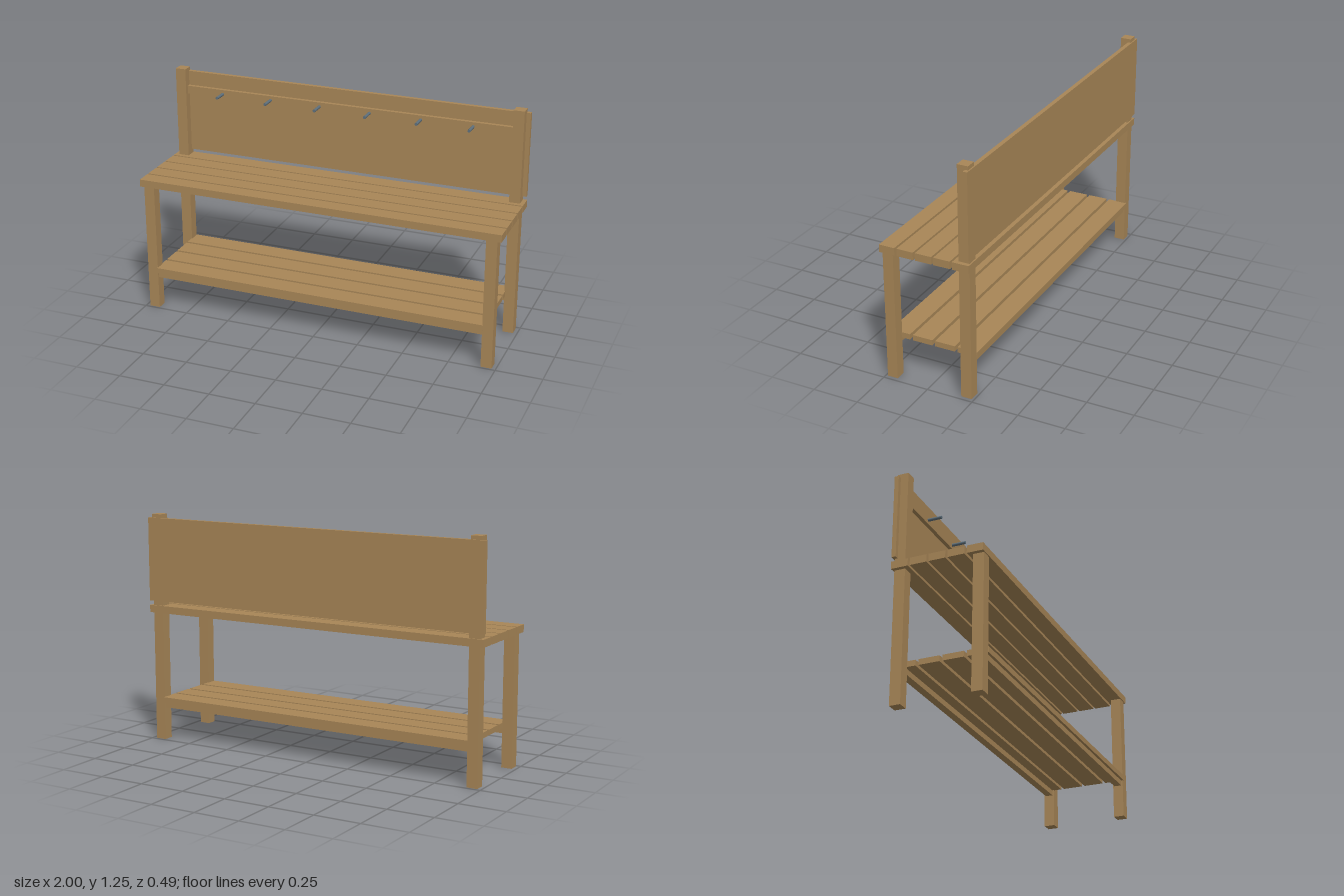
import * as THREE from 'three';

export function createModel() {
  const group = new THREE.Group();
  const wood = new THREE.MeshStandardMaterial({ color: 0xa88657 });
  wood.name = 'wood';
  const steel = new THREE.MeshStandardMaterial({ color: 0x5f707c });
  steel.name = 'steel';

  // Box given by its limits on each axis
  function board(name, x0, x1, y0, y1, z0, z1) {
    const mesh = new THREE.Mesh(new THREE.BoxGeometry(x1 - x0, y1 - y0, z1 - z0), wood);
    mesh.position.set((x0 + x1) / 2, (y0 + y1) / 2, (z0 + z1) / 2);
    mesh.name = name;
    group.add(mesh);
  }

  // Short front legs and tall back posts
  for (const [side, x] of [['left', 0.949], ['right', -0.949]]) {
    board(side + 'FrontLeg', x - 0.029, x + 0.029, 0, 0.71, 0.182, 0.239);
    board(side + 'BackPost', x - 0.029, x + 0.029, 0, 1.25, -0.237, -0.179);
  }

  // Seat slats, the front one slightly narrower
  const seat = [[0.159, 0.244], [0.057, 0.147], [-0.043, 0.046], [-0.143, -0.054], [-0.244, -0.154]];
  seat.forEach(([z0, z1], i) => board('seatSlat' + (i + 1), -1, 1, 0.71, 0.75, z0, z1));

  // Shoe shelf slats
  for (let i = 0; i < 4; i++) {
    const z = 0.189 - i * 0.126;
    board('shelfSlat' + (i + 1), -0.925, 0.925, 0.21, 0.24, z - 0.055, z + 0.055);
  }

  // Rails under the shelf
  board('frontShelfRail', -0.925, 0.925, 0.18, 0.21, 0.19, 0.23);
  board('backShelfRail', -0.925, 0.925, 0.18, 0.21, -0.228, -0.188);

  // Back panel and hook bar
  board('backPanel', -1, 1, 0.775, 1.23, -0.244, -0.221);
  board('hookBar', -0.92, 0.92, 1.106, 1.151, -0.222, -0.2);

  // Coat pegs
  const pegGeometry = new THREE.CylinderGeometry(0.008, 0.008, 0.08, 12).rotateX(Math.PI / 2);
  for (let i = 0; i < 6; i++) {
    const peg = new THREE.Mesh(pegGeometry, steel);
    peg.position.set((i - 2.5) * 0.283, 1.128, -0.164);
    peg.name = 'peg' + (i + 1);
    group.add(peg);
  }
  return group;
}
